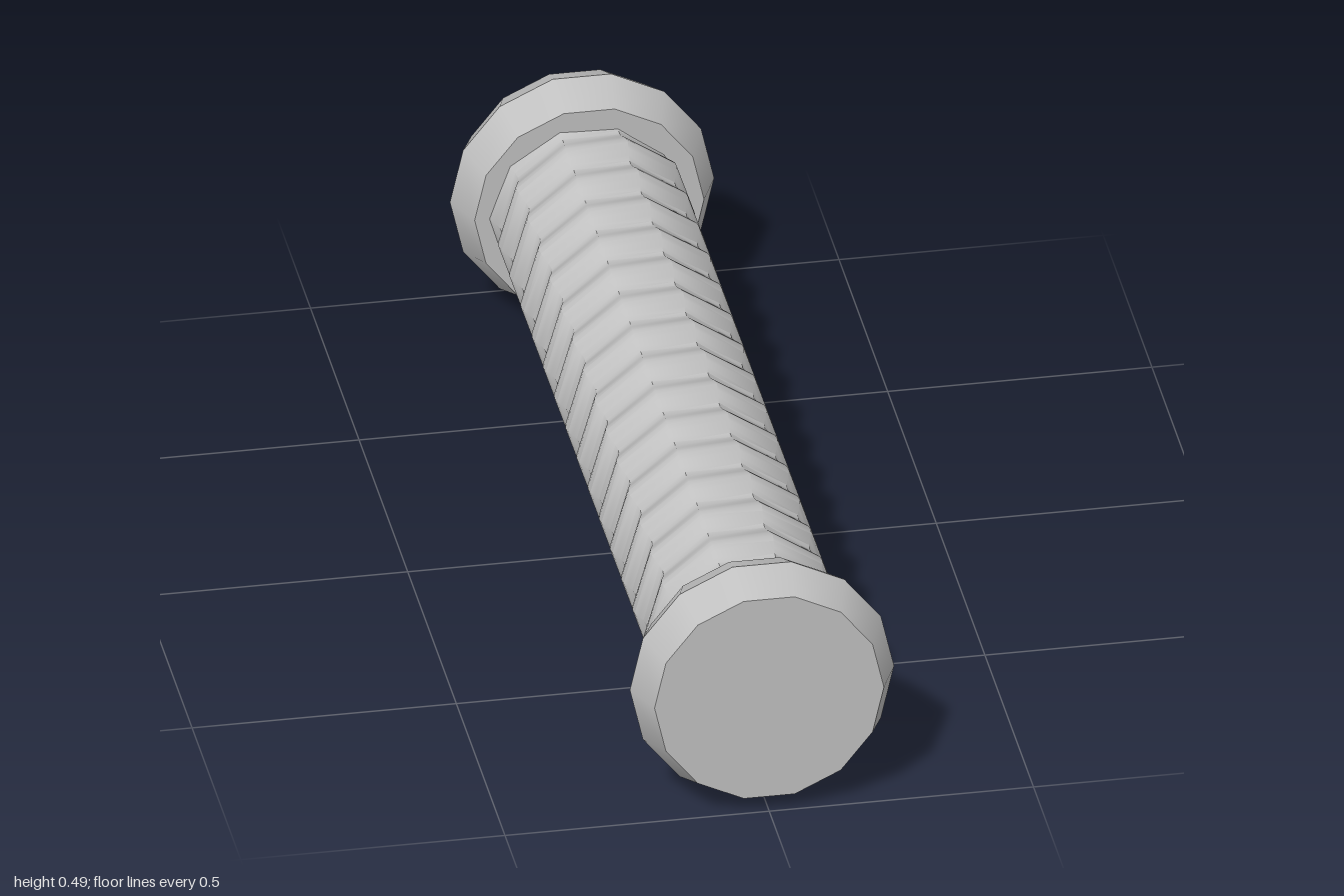
import * as THREE from 'three';
import { toCreasedNormals } from 'three/addons/utils/BufferGeometryUtils.js';

const CENTRE_Y = 0.2437;
const CAP_SIDES = 14, GRIP_SIDES = 10;

// Tapered drum lying along z, with a corner on the +x axis
function drum(rFront, rBack, length, sides, rings, open) {
  return new THREE.CylinderGeometry(rFront, rBack, length, sides, rings, open, Math.PI / 2)
    .rotateX(Math.PI / 2);
}

// Ten-sided grip whose radius ripples along a helix
function gripGeometry() {
  const length = 1.72, pitch = 0.115, radius = 0.183, ripple = 0.008;
  const geometry = drum(1, 1, length, GRIP_SIDES, 120, true);
  const p = geometry.attributes.position;
  for (let i = 0; i < p.count; i++) {
    const angle = Math.atan2(p.getY(i), p.getX(i));
    const r = radius + ripple * Math.cos((2 * Math.PI * p.getZ(i)) / pitch - angle);
    p.setXY(i, r * Math.cos(angle), r * Math.sin(angle));
  }
  return toCreasedNormals(geometry, 0.628);
}

export function createModel() {
  const group = new THREE.Group();
  group.name = 'handle';
  const grey = new THREE.MeshStandardMaterial({ color: 0xc0c0c0 });
  grey.name = 'grey';

  const grip = new THREE.Mesh(gripGeometry(), grey);
  grip.name = 'grip';
  grip.position.y = CENTRE_Y;
  group.add(grip);

  // End caps: two bevelled bands meeting at a ridge, closed by flat discs
  const ridge = 0.25, rim = 0.217, half = 0.075;
  for (const side of [1, -1]) {
    const cap = new THREE.Group();
    cap.name = side > 0 ? 'frontCap' : 'backCap';
    cap.position.set(0, CENTRE_Y, side * 0.925);

    const frontBand = new THREE.Mesh(drum(rim, ridge, half, CAP_SIDES, 1, true), grey);
    frontBand.name = 'frontBevel';
    frontBand.position.z = half / 2;

    const backBand = new THREE.Mesh(drum(ridge, rim, half, CAP_SIDES, 1, true), grey);
    backBand.name = 'backBevel';
    backBand.position.z = -half / 2;

    const frontDisc = new THREE.Mesh(new THREE.CircleGeometry(rim, CAP_SIDES), grey);
    frontDisc.name = 'frontDisc';
    frontDisc.position.z = half;

    const backDisc = new THREE.Mesh(new THREE.CircleGeometry(rim, CAP_SIDES).rotateY(Math.PI), grey);
    backDisc.name = 'backDisc';
    backDisc.position.z = -half;

    cap.add(frontBand, backBand, frontDisc, backDisc);
    group.add(cap);
  }
  return group;
}
